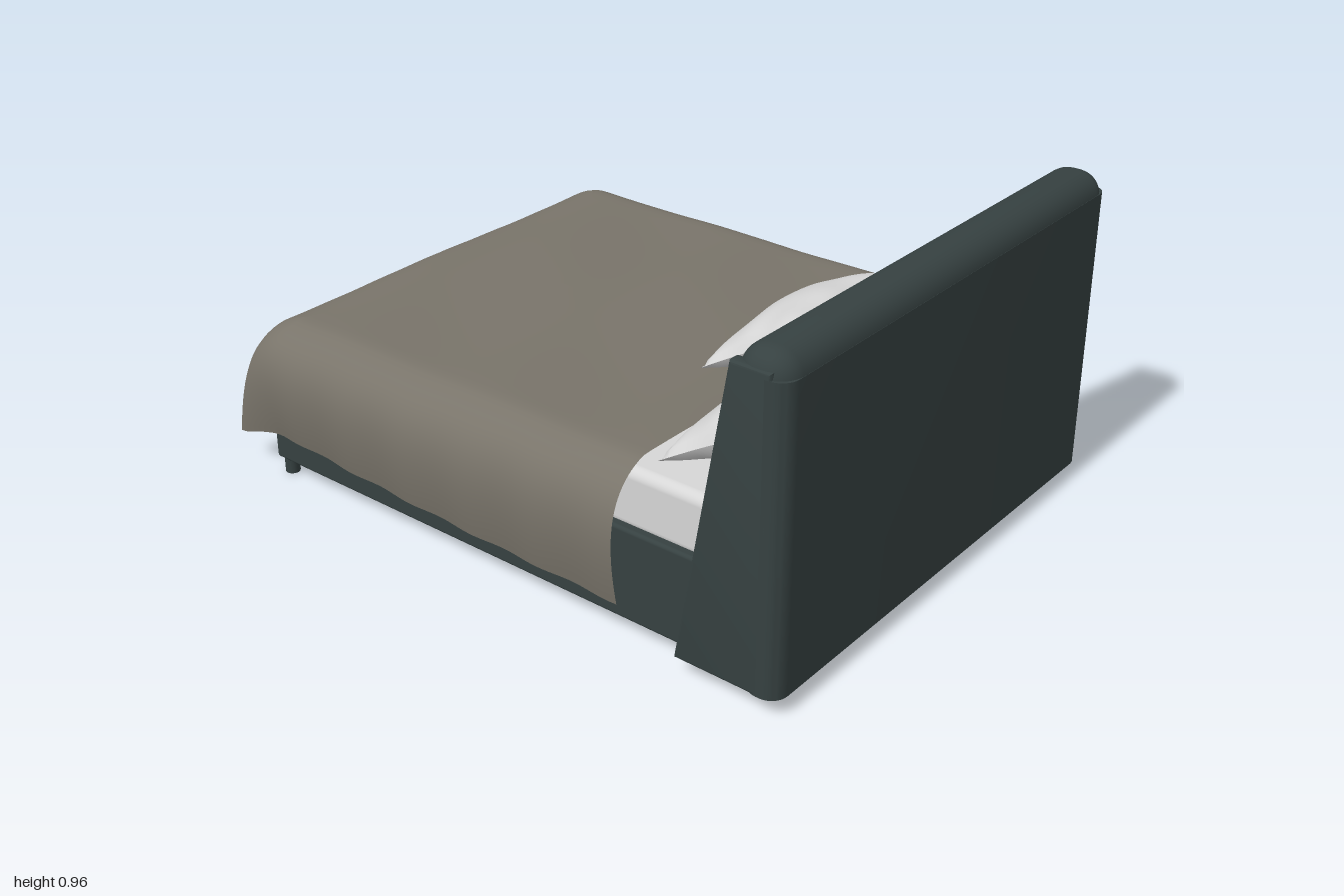
import * as THREE from 'three';
import { mergeGeometries, toCreasedNormals } from 'three/addons/utils/BufferGeometryUtils.js';
import { RoundedBoxGeometry } from 'three/addons/geometries/RoundedBoxGeometry.js';

const mat = (name, color, side = THREE.FrontSide) => {
  const m = new THREE.MeshStandardMaterial({ color, side });
  m.name = name;
  return m;
};
const { lerp, clamp } = THREE.MathUtils;

// Rounded box given by its bounds
function softBox(x, y0, y1, z0, z1, r) {
  const g = new RoundedBoxGeometry(2 * x, y1 - y0, z1 - z0, 5, r);
  return g.translate(0, (y0 + y1) / 2, (z0 + z1) / 2);
}

// Flatten a geometry at a lowest and highest level
function cutLevels(g, lo, hi) {
  const p = g.attributes.position;
  for (let i = 0; i < p.count; i++) p.setY(i, clamp(p.getY(i), lo, hi));
  return toCreasedNormals(g, 0.6);
}

// Sloping side wing of the headboard, drawn in z (mirrored) and y
function wingGeometry() {
  const b = 0.008;
  const s = new THREE.Shape();
  s.moveTo(-0.95, 0.05 + b);
  s.lineTo(-0.69 - b, 0.05 + b);
  s.lineTo(-0.84 - b, 0.91);
  s.lineTo(-0.95, 0.91);
  s.closePath();
  const g = new THREE.ExtrudeGeometry(s, {
    depth: 0.04 - 2 * b, bevelThickness: b, bevelSize: b, bevelSegments: 3,
  });
  g.translate(0, 0, -0.02 + b).rotateY(Math.PI / 2);
  return toCreasedNormals(g, 0.6);
}

// Duvet: rows run from the middle line outwards over the edge to the hem
function duvetGeometry() {
  const g = new THREE.PlaneGeometry(2, 1, 220, 44);
  const p = g.attributes.position;
  const cx = 0.64, cz = -0.77;
  for (let i = 0; i < p.count; i++) {
    const u = p.getX(i), v = 0.5 - p.getY(i);
    const t = Math.abs(u), sign = u < 0 ? -1 : 1;
    // outline: foot, corner, side
    const a = clamp((t - 0.33) / 0.1, 0, 1) * Math.PI / 2;
    const side = clamp((t - 0.43) / 0.57, 0, 1);
    let x = cx * Math.min(1, t / 0.33), z = lerp(cz, 0.5, side), y;
    if (v < 0.4) {
      const k = v / 0.4;
      z = lerp(Math.max(z, -0.5), z, k);
      x *= k;
      y = 0.5 + 0.004 * Math.sin(7 * x * sign + 5 * z) * Math.sin(6 * z + 1);
    } else {
      const h = (v - 0.4) / 0.6;
      const corner = Math.exp(-(((t - 0.38) / 0.028) ** 2));
      const sideness = a / (Math.PI / 2);
      const hem = lerp(lerp(0.19, lerp(0.165, 0.12, side), sideness), 0.1, corner);
      const bulge = 0.012 * Math.sin(Math.PI * side) - 0.012;
      const r = 0.155 * (1 - (1 - h) ** 3.5) + h * bulge * sideness
        - 0.025 * h ** 4 * sideness + 0.004 * h * Math.sin(t * 60 + sign);
      x += r * Math.sin(a);
      z -= r * Math.cos(a) + corner * (sign < 0 ? 0.12 : 0.085) * h ** 1.5;
      y = 0.5 - (0.5 - hem) * h ** 1.4
        + (1 - h) * 0.004 * Math.sin(7 * x * sign + 5 * z) * Math.sin(6 * z + 1);
    }
    p.setXYZ(i, x * sign, y, z);
  }
  g.computeVertexNormals();
  return g;
}

// Pillow with pinched corners and creases along its edges
function pillowGeometry(w, h, thick) {
  const front = new THREE.PlaneGeometry(2, 2, 32, 28);
  const p = front.attributes.position;
  for (let i = 0; i < p.count; i++) {
    const u = p.getX(i), v = p.getY(i);
    const eu = 1 - u * u, ev = 1 - v * v;
    const crease = 1 + 0.08 * Math.sin(9 * u + 2) * v * v + 0.08 * Math.sin(8 * v) * u * u;
    p.setXYZ(i, w / 2 * u * (1 - 0.1 * ev), h / 2 * v * (1 - 0.12 * eu),
      thick / 2 * Math.pow(Math.max(0, eu * ev), 0.5) * crease);
  }
  front.computeVertexNormals();
  return mergeGeometries([front, front.clone().rotateY(Math.PI)]);
}

export function createModel() {
  const dark = mat('dark upholstery', 0x364141);
  const linen = mat('white linen', 0xd6d6d6);
  const cloth = mat('taupe duvet', 0x79746a, THREE.DoubleSide);
  const bed = new THREE.Group();
  bed.name = 'bed';
  const add = (name, geometry, material, x = 0, y = 0, z = 0) => {
    const m = new THREE.Mesh(geometry, material);
    m.name = name;
    m.position.set(x, y, z);
    bed.add(m);
    return m;
  };

  // Headboard: recessed panel, padded cap and two wings
  add('headboardPanel', cutLevels(softBox(0.77, -0.1, 1.05, 0.89, 1, 0.05), 0.05, 0.9), dark);
  add('headboardCap', cutLevels(softBox(0.77, 0.75, 0.96, 0.84, 1, 0.07), 0.895, 0.96), dark);
  const wing = wingGeometry();
  for (const s of [-1, 1]) add(s > 0 ? 'leftWing' : 'rightWing', wing, dark, s * 0.75);

  // Base and legs
  add('bedBase', softBox(0.72, 0.05, 0.32, -0.85, 0.92, 0.01), dark);
  const leg = new THREE.CylinderGeometry(0.022, 0.022, 0.06, 12);
  for (const x of [-0.69, 0.69]) for (const z of [-0.82, 0.925]) add('leg', leg, dark, x, 0.03, z);

  // Bedding
  add('mattress', softBox(0.695, 0.3, 0.48, -0.82, 0.9, 0.03), linen);
  add('duvet', duvetGeometry(), cloth);

  // Pillows leaning back against the headboard
  const big = pillowGeometry(0.6, 0.42, 0.18);
  for (const s of [-1, 1]) {
    const m = add('backPillow', big, linen, s * 0.335, 0.595, 0.715);
    m.rotation.set(-Math.PI / 2 - 0.52, 0, 0);
  }
  const small = add('frontPillow', pillowGeometry(0.56, 0.35, 0.16), linen, 0.07, 0.605, 0.485);
  small.rotation.set(-Math.PI / 2 - 0.52, 0, 0.03);
  return bed;
}
